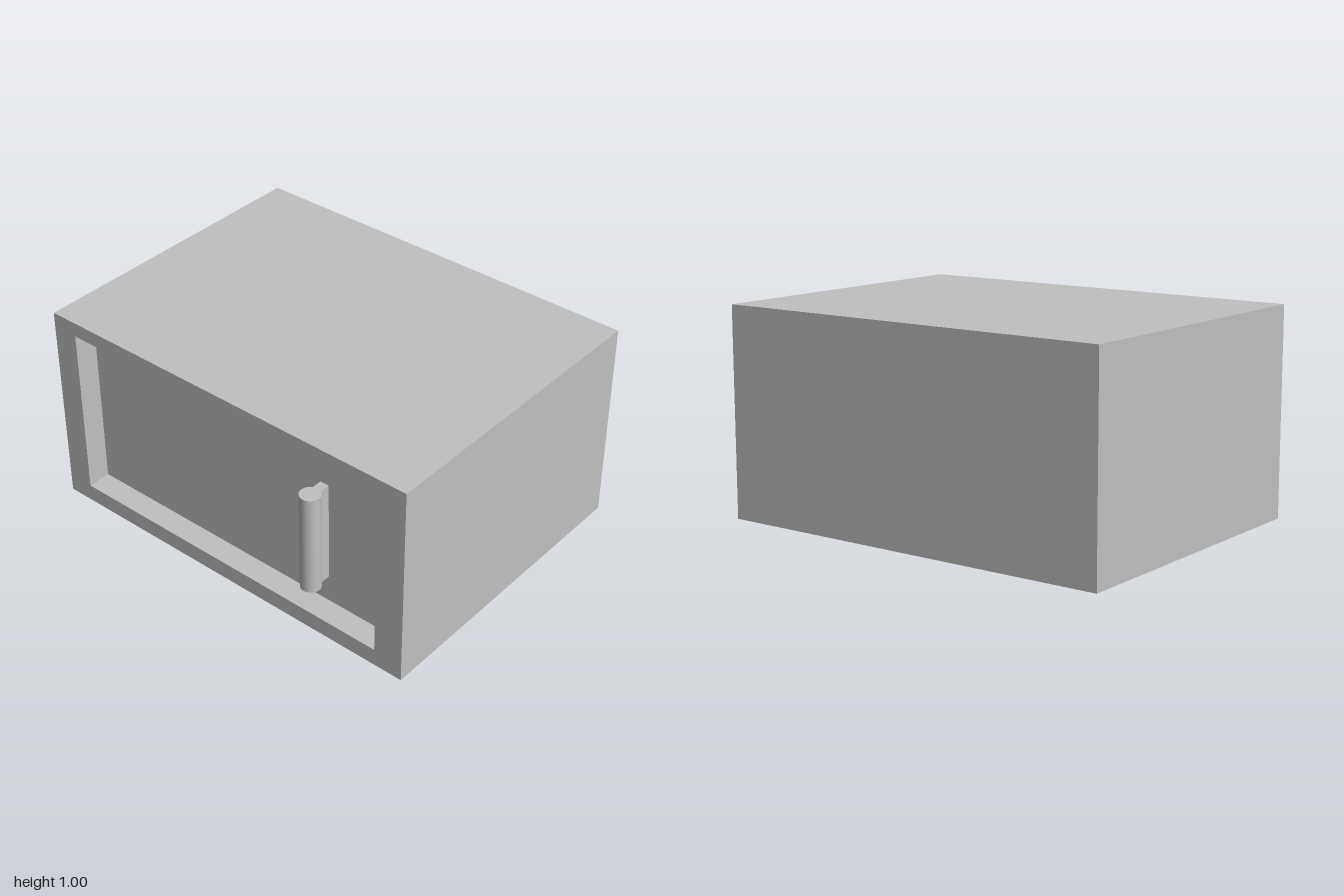
import * as THREE from 'three';

const FRONT = 0.74, BACK = -0.76, RECESS = 0.625;
const hole = { x0: -0.87, x1: 0.855, y0: 0.085, y1: 0.93 };

// Box between two corners with its front (+z) face left out; inward turns it inside out
function openBox(x0, x1, y0, y1, z0, z1, inward) {
  const g = new THREE.BoxGeometry(x1 - x0, y1 - y0, z1 - z0);
  g.translate((x0 + x1) / 2, (y0 + y1) / 2, (z0 + z1) / 2);
  const index = Array.from(g.index.array);
  index.splice(24, 6);
  if (inward) index.reverse();
  g.setIndex(index);
  g.clearGroups();
  g.computeVertexNormals();
  return g;
}

function rectangle(PathType, x0, x1, y0, y1) {
  return new PathType([[x0, y0], [x1, y0], [x1, y1], [x0, y1]].map(p => new THREE.Vector2(...p)));
}

export function createModel() {
  const model = new THREE.Group();
  const grey = new THREE.MeshStandardMaterial({ color: 0xc0c0c0 });
  grey.name = 'light grey';

  const add = (name, geometry, parent = model) => {
    const mesh = new THREE.Mesh(geometry, grey);
    mesh.name = name;
    parent.add(mesh);
    return mesh;
  };

  // Cabinet: sides, top, bottom and back
  add('cabinetShell', openBox(-1, 1, 0, 1, BACK, FRONT, false));

  // Front frame around the opening
  const frame = rectangle(THREE.Shape, -1, 1, 0, 1);
  frame.holes.push(rectangle(THREE.Path, hole.x0, hole.x1, hole.y0, hole.y1));
  add('frontFrame', new THREE.ShapeGeometry(frame).translate(0, 0, FRONT));

  // Recess walls and the door panel at the back of it
  add('doorRecess', openBox(hole.x0, hole.x1, hole.y0, hole.y1, RECESS, FRONT, true));

  // Upright handle: round grip on a narrow web joined to the door
  const handle = new THREE.Group();
  handle.name = 'handle';
  handle.position.set(0.485, 0.47, 0);
  model.add(handle);
  add('handleGrip', new THREE.CylinderGeometry(0.048, 0.048, 0.5, 24), handle).position.z = 0.717;
  add('handleWeb', new THREE.BoxGeometry(0.045, 0.5, 0.075), handle).position.z = 0.6625;

  return model;
}
